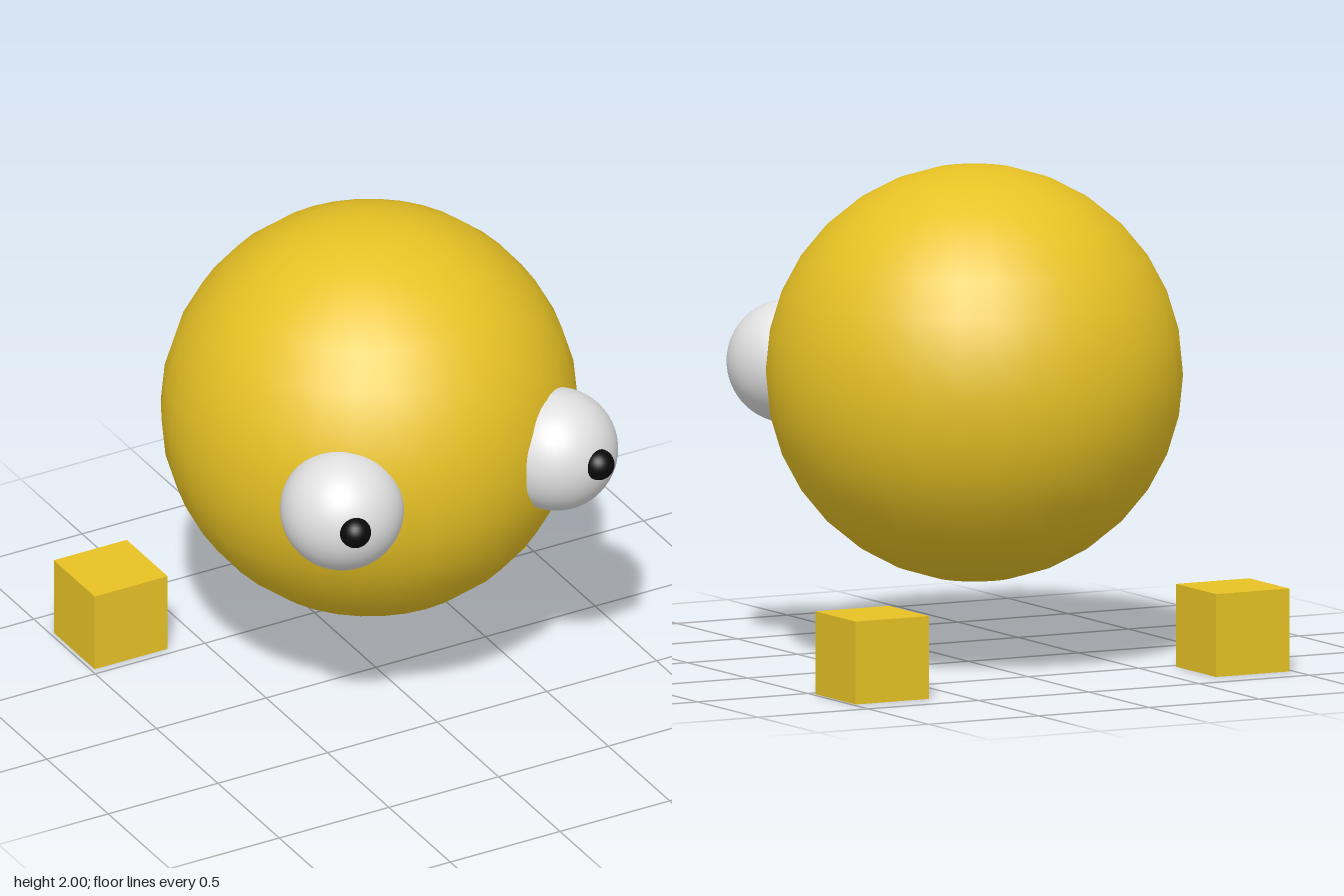
import * as THREE from 'three';

export function createModel() {
  const model = new THREE.Group();
  const material = (name, color) => {
    const m = new THREE.MeshStandardMaterial({ color });
    m.name = name;
    return m;
  };
  const yellow = material('yellow', 0xfdd429);
  const eyeWhite = material('eye white', 0xe0e0e0);
  const black = material('black', 0x0a0a0a);

  const add = (name, geometry, mat, x, y, z) => {
    const mesh = new THREE.Mesh(geometry, mat);
    mesh.name = name;
    mesh.position.set(x, y, z);
    model.add(mesh);
  };

  // Round body
  add('body', new THREE.SphereGeometry(0.833, 32, 16), yellow, 0, 1.167, -0.052);

  // Mirrored eyes, pupils and detached block feet
  const eye = new THREE.SphereGeometry(0.247, 48, 32);
  const pupil = new THREE.SphereGeometry(0.063, 32, 16);
  const foot = new THREE.BoxGeometry(0.333, 0.333, 0.333);
  for (const [side, s] of [['left', 1], ['right', -1]]) {
    add(side + 'Eye', eye, eyeWhite, s * 0.488, 1.167, 0.597);
    add(side + 'Pupil', pupil, black, s * 0.555, 1.19, 0.824);
    add(side + 'Foot', foot, yellow, s * 0.817, 0.167, -0.7);
  }
  return model;
}
